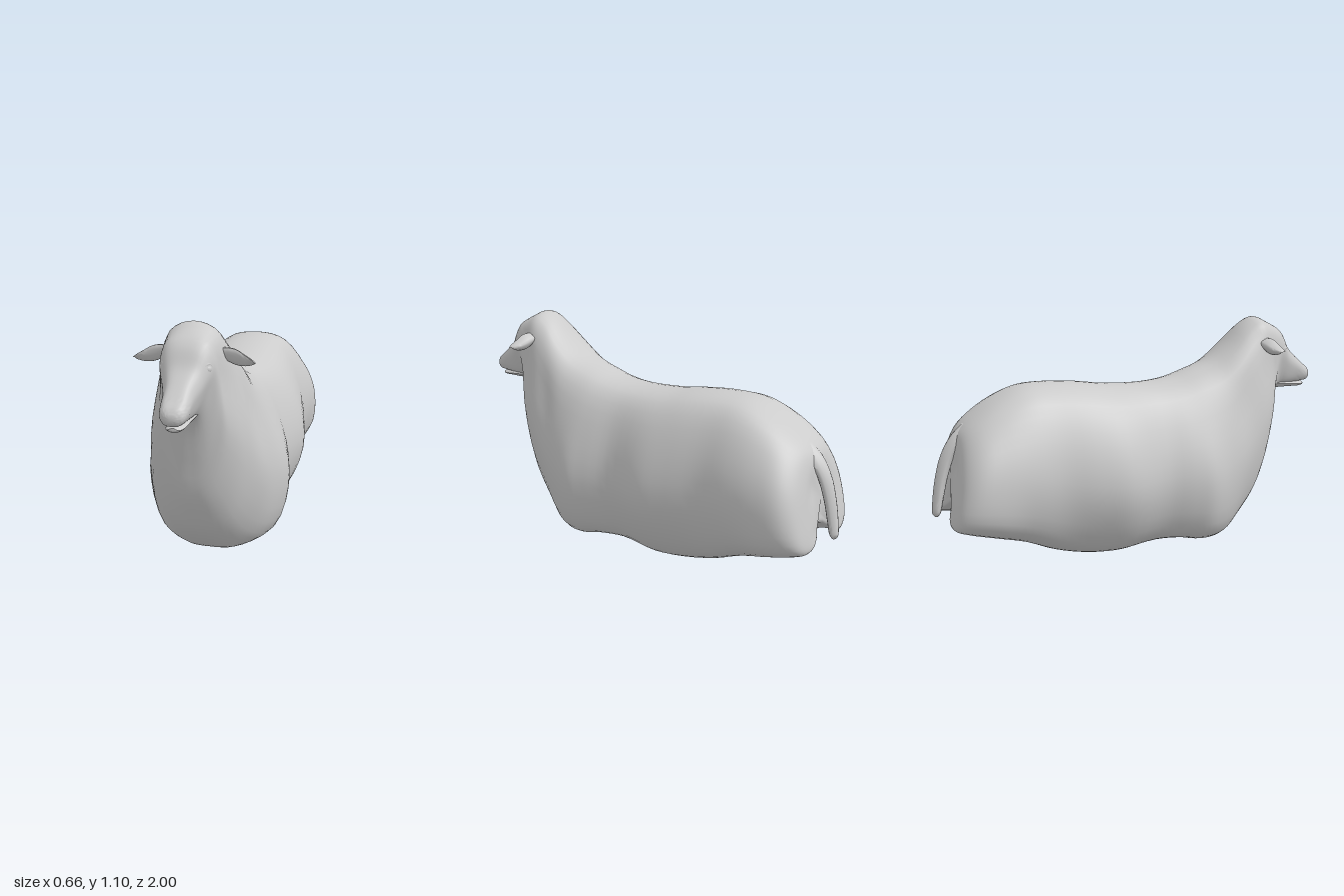
import * as THREE from 'three';
import { toCreasedNormals } from 'three/addons/utils/BufferGeometryUtils.js';

const V = (x, y, z) => new THREE.Vector3(x, y, z);
const material = new THREE.MeshStandardMaterial({ color: 0xcccccc });

// Smooth closed skin through rings of control points, capped at both ends.
function loft(name, rings, steps = 4) {
  const n = rings[0].length * steps;
  const rows = (rings.length - 1) * steps;
  const smooth = rings.map(r => {
    const c = new THREE.CatmullRomCurve3(r, true);
    return Array.from({ length: n }, (_, j) => c.getPoint(j / n));
  });
  const pos = [], index = [];
  const columns = Array.from({ length: n }, (_, j) => new THREE.CatmullRomCurve3(smooth.map(r => r[j])));
  for (let i = 0; i <= rows; i++)
    for (const c of columns) pos.push(...c.getPoint(i / rows).toArray());
  for (let i = 0; i < rows; i++)
    for (let j = 0; j < n; j++) {
      const k = (j + 1) % n;
      const a = i * n + j, b = i * n + k;
      index.push(a, b, b + n, a, b + n, a + n);
    }
  for (const [row, ring] of [[0, smooth[0]], [rows, smooth.at(-1)]]) {
    const mid = ring.reduce((s, p) => s.add(p), V(0, 0, 0)).divideScalar(n);
    const m = pos.length / 3;
    pos.push(...mid.toArray());
    for (let j = 0; j < n; j++) {
      const a = row * n + j, b = row * n + (j + 1) % n;
      index.push(m, row ? a : b, row ? b : a);
    }
  }
  const g = new THREE.BufferGeometry();
  g.setAttribute('position', new THREE.Float32BufferAttribute(pos, 3));
  g.setIndex(index);
  const mesh = new THREE.Mesh(toCreasedNormals(g, 1), material);
  mesh.name = name;
  return mesh;
}

// Sections: z, top, bottom, then half widths at 95, 70, 40 and 10 % of the height.
const trunk = [
  [-0.872, 0.6, 0.33, 0.04, 0.07, 0.09, 0.09],
  [-0.868, 0.645, 0.275, 0.07, 0.14, 0.17, 0.17],
  [-0.85, 0.68, 0.25, 0.11, 0.205, 0.245, 0.235],
  [-0.8, 0.725, 0.235, 0.14, 0.25, 0.29, 0.27],
  [-0.7, 0.79, 0.2, 0.15, 0.26, 0.305, 0.28],
  [-0.58, 0.84, 0.14, 0.15, 0.26, 0.3, 0.24],
  [-0.45, 0.85, 0.06, 0.15, 0.26, 0.285, 0.2],
  [-0.3, 0.84, 0.02, 0.16, 0.28, 0.31, 0.2],
  [-0.15, 0.82, 0.01, 0.16, 0.29, 0.33, 0.22],
  [0.05, 0.815, 0.03, 0.14, 0.25, 0.29, 0.21],
  [0.18, 0.83, 0.03, 0.14, 0.26, 0.315, 0.25],
  [0.28, 0.86, 0.012, 0.14, 0.26, 0.33, 0.27],
  [0.4, 0.905, 0.015, 0.14, 0.24, 0.29, 0.23],
  [0.5, 0.98, 0.07, 0.135, 0.205, 0.255, 0.18],
];
const neckAndHead = [
  [0.6, 1.08, 0.17, 0.105, 0.18, 0.215, 0.15],
  [0.66, 1.11, 0.27, 0.1, 0.15, 0.185, 0.125],
  [0.71, 1.09, 0.39, 0.095, 0.125, 0.145, 0.09],
  [0.735, 1.077, 0.55, 0.088, 0.12, 0.115, 0.07],
  [0.77, 1.055, 0.72, 0.08, 0.112, 0.095, 0.06],
  [0.8, 1.025, 0.745, 0.068, 0.1, 0.085, 0.05],
  [0.84, 0.96, 0.752, 0.055, 0.08, 0.07, 0.045],
  [0.89, 0.912, 0.757, 0.042, 0.062, 0.058, 0.04],
  [0.95, 0.862, 0.763, 0.038, 0.054, 0.054, 0.038],
  [0.985, 0.835, 0.768, 0.03, 0.043, 0.044, 0.03],
  [1, 0.815, 0.782, 0.015, 0.022, 0.022, 0.015],
];

function bodyRing([z, top, bottom, ...w]) {
  const rear = THREE.MathUtils.smoothstep(-z, 0.4, 0.85);
  const h = top - bottom;
  // The underside is grooved between the hind legs, and the rump leans back.
  const half = [
    [0, 1], [w[0], 0.95], [w[1], 0.7], [w[2], 0.4], [w[3], 0.1],
    [w[3] * (0.48 + 0.2 * rear), 0.012 * (1 - rear)], [0, 0.17 * rear],
  ];
  const point = (x, f) => {
    const y = bottom + f * h;
    const cleft = 0.03 * rear * Math.exp(-((x / 0.07) ** 2)) * (f < 0.9 ? 1 : 0);
    return V(x, y, z - rear * 0.19 * Math.max(0, 0.68 - y) + cleft);
  };
  const right = half.map(([x, f]) => point(-x, f));
  const left = half.slice(1, -1).reverse().map(([x, f]) => point(x, f));
  return [...right, ...left];
}

// Flat oval ring across z, for the jaw.
const jawRing = ([z, y, rx, ry]) => [V(0, y + ry, z), V(-rx, y, z), V(0, y - ry, z), V(rx, y, z)];

// Leaf section across x, leaning forward at the top and cupped in front.
function earRing([x, y, z, ry, rz], side) {
  const ring = [
    V(x, y + ry, z + 0.018), V(x, y - rz * 0.2, z + rz * 0.5),
    V(x, y - ry, z - 0.004), V(x, y + rz * 0.2, z - rz),
  ];
  if (side < 0) ring.reverse().forEach(p => { p.x *= -1; });
  return ring;
}

export function createModel() {
  const model = new THREE.Group();
  model.name = 'sheep';

  model.add(loft('body', [...trunk, ...neckAndHead].map(bodyRing)));

  // Lower jaw, parted from the muzzle by the mouth
  model.add(loft('lowerJaw', [
    [0.76, 0.765, 0.05, 0.03], [0.86, 0.757, 0.043, 0.022],
    [0.93, 0.751, 0.038, 0.016], [0.96, 0.75, 0.032, 0.014], [0.972, 0.751, 0.018, 0.007],
  ].map(jawRing)));

  // Tail hanging against the rump
  model.add(loft('tail', [
    [0.69, -0.82, 0.03], [0.63, -0.865, 0.048], [0.55, -0.915, 0.042], [0.45, -0.948, 0.036],
    [0.35, -0.968, 0.031], [0.29, -0.977, 0.024], [0.275, -0.978, 0.01],
  ].map(([y, z, r]) => [V(r, y, z), V(0, y, z + r * 0.8), V(-r, y, z), V(0, y, z - r * 0.8)])));

  for (const side of [1, -1]) {
    const label = side > 0 ? 'left' : 'right';
    model.add(loft(label + 'Ear', [
      [0.09, 0.985, 0.66, 0.02, 0.03], [0.13, 0.982, 0.658, 0.028, 0.032],
      [0.17, 0.972, 0.659, 0.034, 0.032], [0.21, 0.96, 0.664, 0.024, 0.026],
      [0.24, 0.955, 0.67, 0.011, 0.014], [0.252, 0.954, 0.672, 0.002, 0.002],
    ].map(s => earRing(s, side))));

    // Eyeball under a heavier lid
    const eye = new THREE.Mesh(new THREE.SphereGeometry(0.019, 20, 14), material);
    eye.name = label + 'Eye';
    eye.position.set(side * 0.086, 0.948, 0.79);
    const lid = new THREE.Mesh(new THREE.TorusGeometry(0.018, 0.008, 10, 20, Math.PI), material);
    lid.name = label + 'Eyelid';
    lid.position.set(side * 0.09, 0.95, 0.793);
    lid.rotation.y = side * 0.95;
    model.add(eye, lid);
  }
  return model;
}
